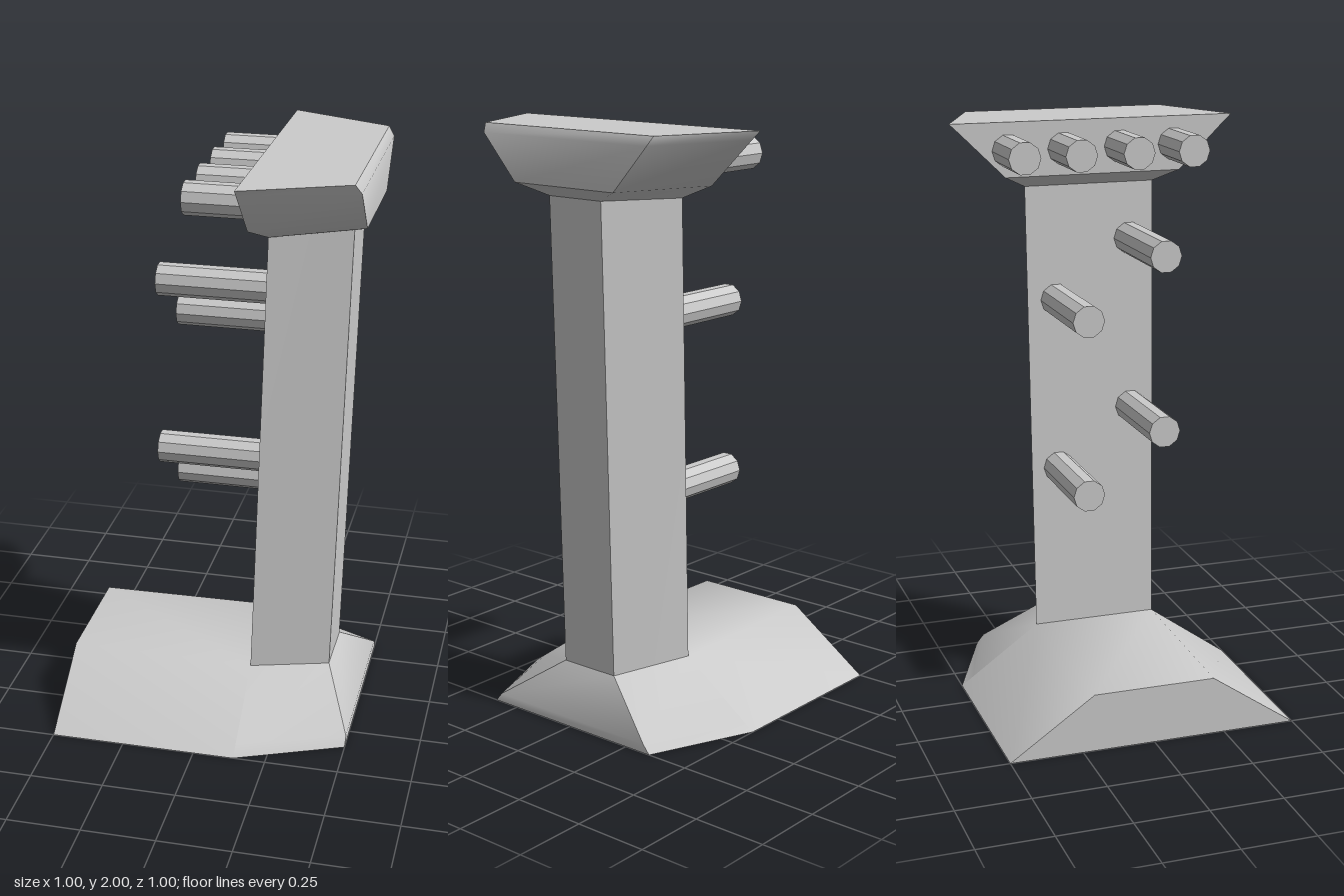
import * as THREE from 'three';
import { mergeGeometries, toCreasedNormals } from 'three/addons/utils/BufferGeometryUtils.js';

const material = new THREE.MeshStandardMaterial({ color: 0xcccccc });

// Skin a series of four-cornered rings; optionally close the first and last
function loft(rings, closeStart, closeEnd) {
  const index = [];
  for (let i = 0; i < rings.length - 1; i++) {
    for (let j = 0; j < 4; j++) {
      const a = i * 4 + j, b = i * 4 + (j + 1) % 4;
      index.push(a, b, b + 4, a, b + 4, a + 4);
    }
  }
  const e = (rings.length - 1) * 4;
  if (closeStart) index.push(0, 2, 1, 0, 3, 2);
  if (closeEnd) index.push(e, e + 1, e + 2, e, e + 2, e + 3);
  const g = new THREE.BufferGeometry();
  g.setAttribute('position', new THREE.Float32BufferAttribute(rings.flat(2), 3));
  g.setIndex(index);
  g.computeVertexNormals();
  return g;
}

// Horizontal trapezoid: back edge at xb, front edge at xf, with half widths zb and zf
const ring = (xb, yb, zb, xf, yf, zf) =>
  [[xb, yb, zb], [xf, yf, zf], [xf, yf, -zf], [xb, yb, -zb]];

// Upright trapezoid across the foot at x
const slabRing = (x, top) => [[x, 0, 0.5], [x, 0, -0.5], [x, 0.2, -top], [x, 0.2, top]];

function addMesh(parent, name, geometry) {
  const mesh = new THREE.Mesh(toCreasedNormals(geometry, 0.7), material);
  mesh.name = name;
  parent.add(mesh);
}

// Ten-sided peg lying along x
function addPeg(parent, name, x0, x1, y, z) {
  const g = new THREE.CylinderGeometry(0.055, 0.055, x1 - x0, 10);
  g.rotateZ(Math.PI / 2);
  g.translate((x0 + x1) / 2, y, z);
  addMesh(parent, name, toCreasedNormals(g.deleteAttribute('uv'), 0.1));
  parent.children.at(-1).geometry = toCreasedNormals(g, 0.1);
}

export function createModel() {
  const model = new THREE.Group();
  model.name = 'pegStand';

  const columnFoot = ring(0.14, 0.2, 0.22, 0.4, 0.18, 0.11);
  const columnHead = ring(0.19, 1.775, 0.23, 0.445, 1.78, 0.11);

  // Foot: long slab plus the flare below the column
  const slab = loft([slabRing(-0.5, 0.21), slabRing(0.14, 0.22)], true, false);
  const flare = loft([
    ring(0.14, 0, 0.5, 0.5, 0, 0.35),
    ring(0.14, 0.03, 0.458, 0.5, 0.03, 0.325),
    columnFoot,
  ], true, false);
  addMesh(model, 'base', mergeGeometries([slab, flare]));

  // Slightly leaning column
  addMesh(model, 'column', loft([columnFoot, columnHead], false, false));

  // Flared cap
  addMesh(model, 'cap', loft([
    columnHead,
    ring(0.14, 1.815, 0.31, 0.5, 1.82, 0.21),
    ring(0.14, 1.97, 0.468, 0.5, 1.97, 0.345),
    ring(0.14, 2, 0.5, 0.48, 2, 0.357),
  ], false, true));

  // Long pegs staggered up the column
  const pegs = new THREE.Group();
  pegs.name = 'pegs';
  model.add(pegs);
  [0.78, 0.98, 1.38, 1.58].forEach((y, i) =>
    addPeg(pegs, 'columnPeg', -0.19, 0.2, y, i % 2 ? 0.143 : -0.125));

  // Row of short pegs on the cap
  for (const z of [-0.3, -0.107, 0.093, 0.287]) addPeg(pegs, 'capPeg', -0.065, 0.15, 1.905, z);

  return model;
}
